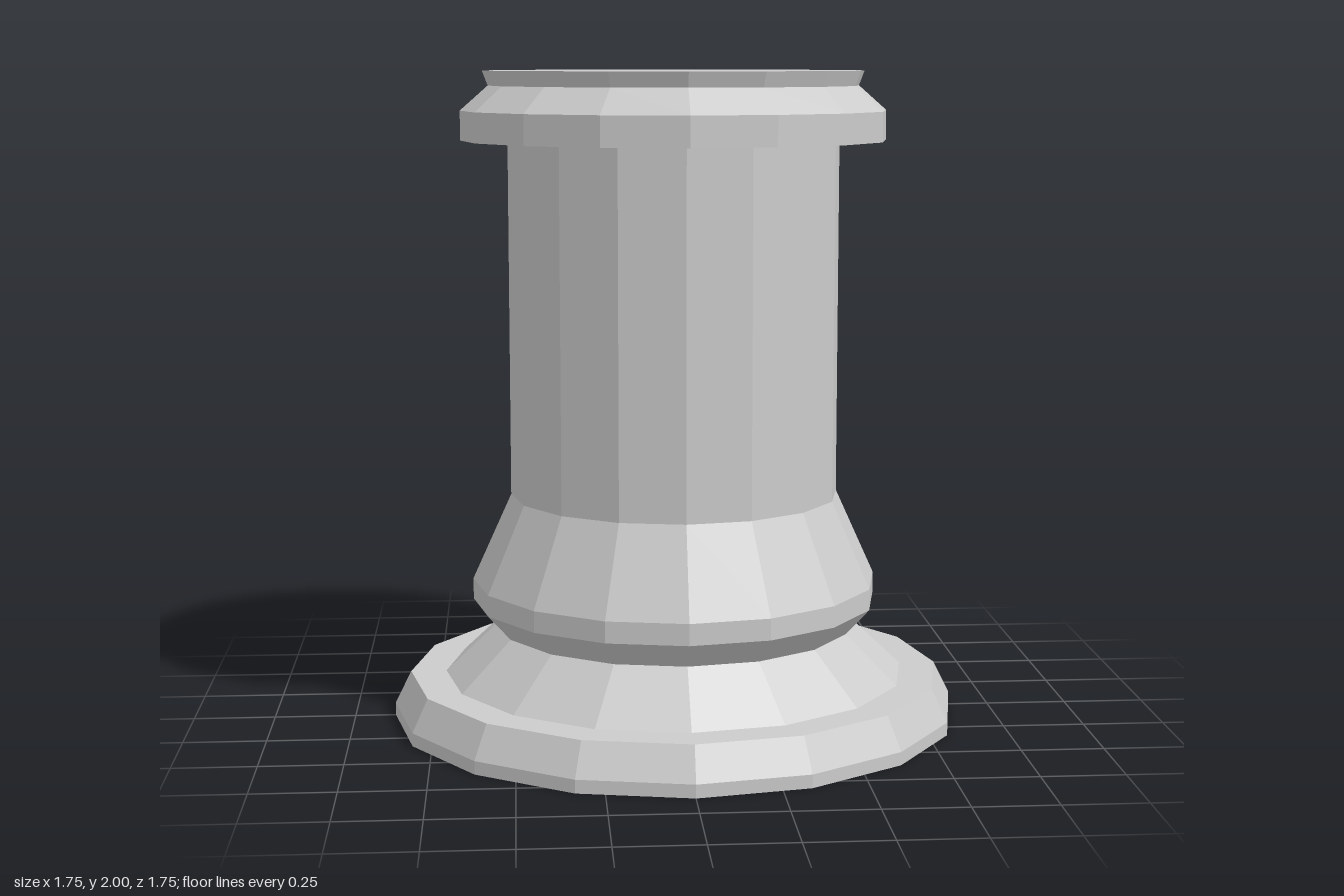
import * as THREE from 'three';

const SIDES = 16;

export function createModel() {
  const group = new THREE.Group();
  group.name = 'pedestal';
  const material = new THREE.MeshStandardMaterial({
    color: 0xcccccc, flatShading: true, side: THREE.DoubleSide,
  });

  // Turns a [radius, height] profile, listed from bottom to top
  const turned = (name, profile) => {
    const points = profile.map(([r, y]) => new THREE.Vector2(r, y));
    const mesh = new THREE.Mesh(new THREE.LatheGeometry(points, SIDES), material);
    mesh.name = name;
    group.add(mesh);
  };

  // Hollow foot, open underneath, with a flat ledge and a sloping neck
  turned('foot', [[0.875, 0], [0.875, 0.04], [0.825, 0.14], [0.715, 0.14], [0.555, 0.29]]);
  // Flared skirt between the neck and the shaft
  turned('skirt', [[0.555, 0.29], [0.627, 0.37], [0.627, 0.435], [0.507, 0.7]]);
  // Straight column
  turned('shaft', [[0.507, 0.7], [0.507, 1.79]]);
  // Projecting collar with a bevelled top
  turned('collar', [[0.507, 1.79], [0.65, 1.79], [0.65, 1.88], [0.565, 1.955]]);
  // Slightly widening closed top
  turned('cap', [[0.565, 1.955], [0.582, 2], [0, 2]]);

  return group;
}
